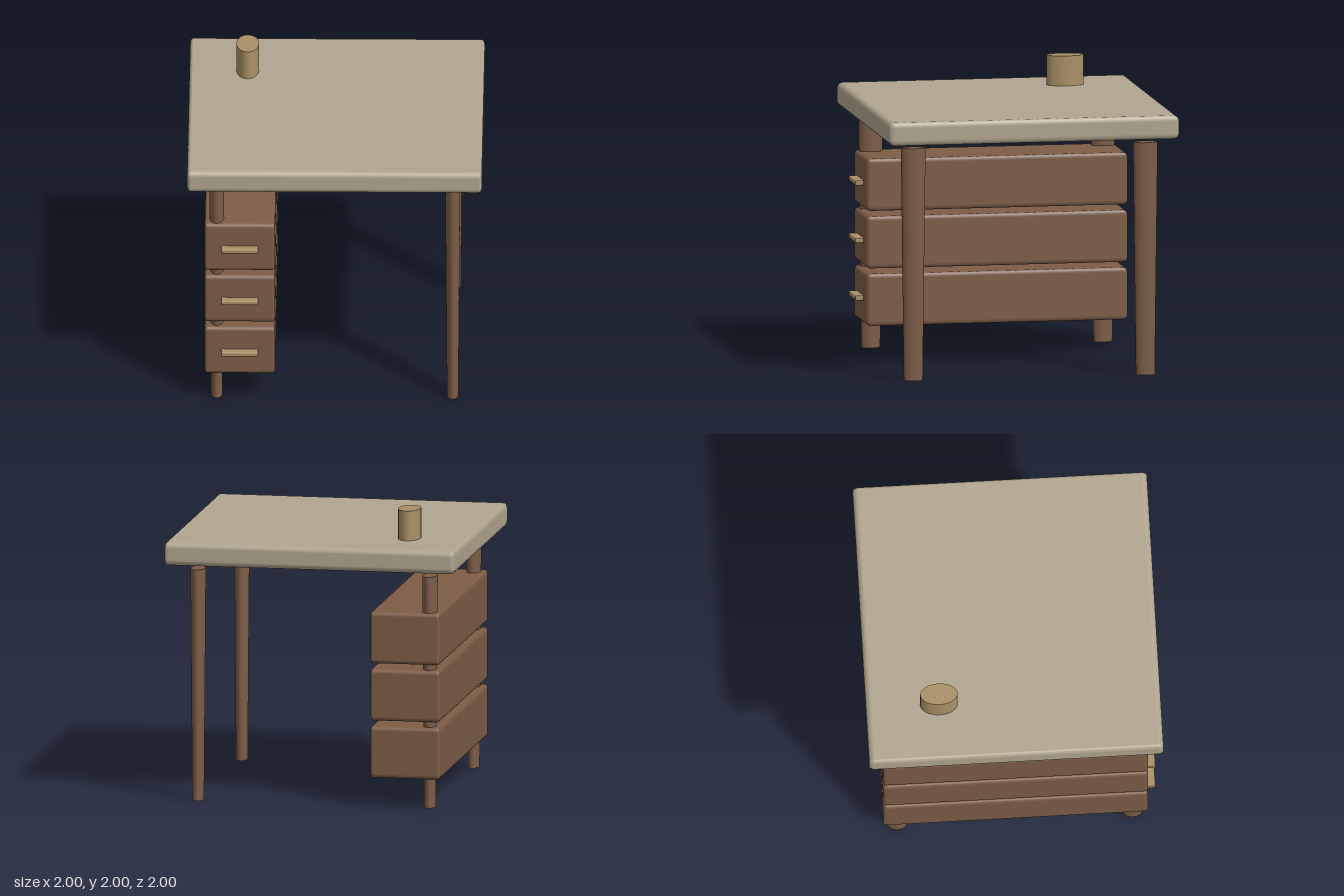
import * as THREE from 'three';
import { RoundedBoxGeometry } from 'three/addons/geometries/RoundedBoxGeometry.js';

const SQUASH = 0.6; // width of round parts and bevels relative to their depth

const material = (color) => new THREE.MeshStandardMaterial({ color });

function addPart(parent, name, geometry, mat, x, y, z) {
  const mesh = new THREE.Mesh(geometry, mat);
  mesh.name = name;
  mesh.position.set(x, y, z);
  parent.add(mesh);
  return mesh;
}

// Box with rounded edges that are narrower along x
function softBox(w, h, d, r) {
  return new RoundedBoxGeometry(w / SQUASH, h, d, 4, r).scale(SQUASH, 1, 1);
}

// Oval post; radii are given along z
function ovalPost(rTop, rBottom, h) {
  return new THREE.CylinderGeometry(rTop, rBottom, h, 32).scale(SQUASH, 1, 1);
}

export function createModel() {
  const desk = new THREE.Group();
  desk.name = 'desk';
  const topMat = material(0xb0a58f);
  const wood = material(0x7c5c46);
  const tan = material(0xa89066);

  // Table top
  addPart(desk, 'tableTop', softBox(2, 0.16, 2, 0.04), topMat, 0, 1.715, 0);

  // Four tapered legs
  const legGeometry = ovalPost(0.085, 0.065, 1.594);
  for (const [side, x] of [['left', 0.8], ['right', -0.8]]) {
    for (const [end, z] of [['Front', 0.8], ['Back', -0.8]]) {
      addPart(desk, `${side}${end}Leg`, legGeometry, wood, x, 0.797, z);
    }
  }

  // Stack of three drawers with bar handles
  const drawerGeometry = softBox(0.478, 0.357, 1.8, 0.03);
  const handleGeometry = softBox(0.255, 0.032, 0.08, 0.008);
  for (let i = 0; i < 3; i++) {
    const drawer = new THREE.Group();
    drawer.name = `drawer${i + 1}`;
    drawer.position.set(-0.643, 0.38 + i * 0.394, 0);
    addPart(drawer, 'drawerBox', drawerGeometry, wood, 0, 0, 0);
    addPart(drawer, 'drawerHandle', handleGeometry, tan, 0, 0, 0.917);
    desk.add(drawer);
  }

  // Pencil cup standing on the table
  addPart(desk, 'pencilCup', ovalPost(0.127, 0.127, 0.21), tan, -0.604, 1.895, -0.504);

  return desk;
}
